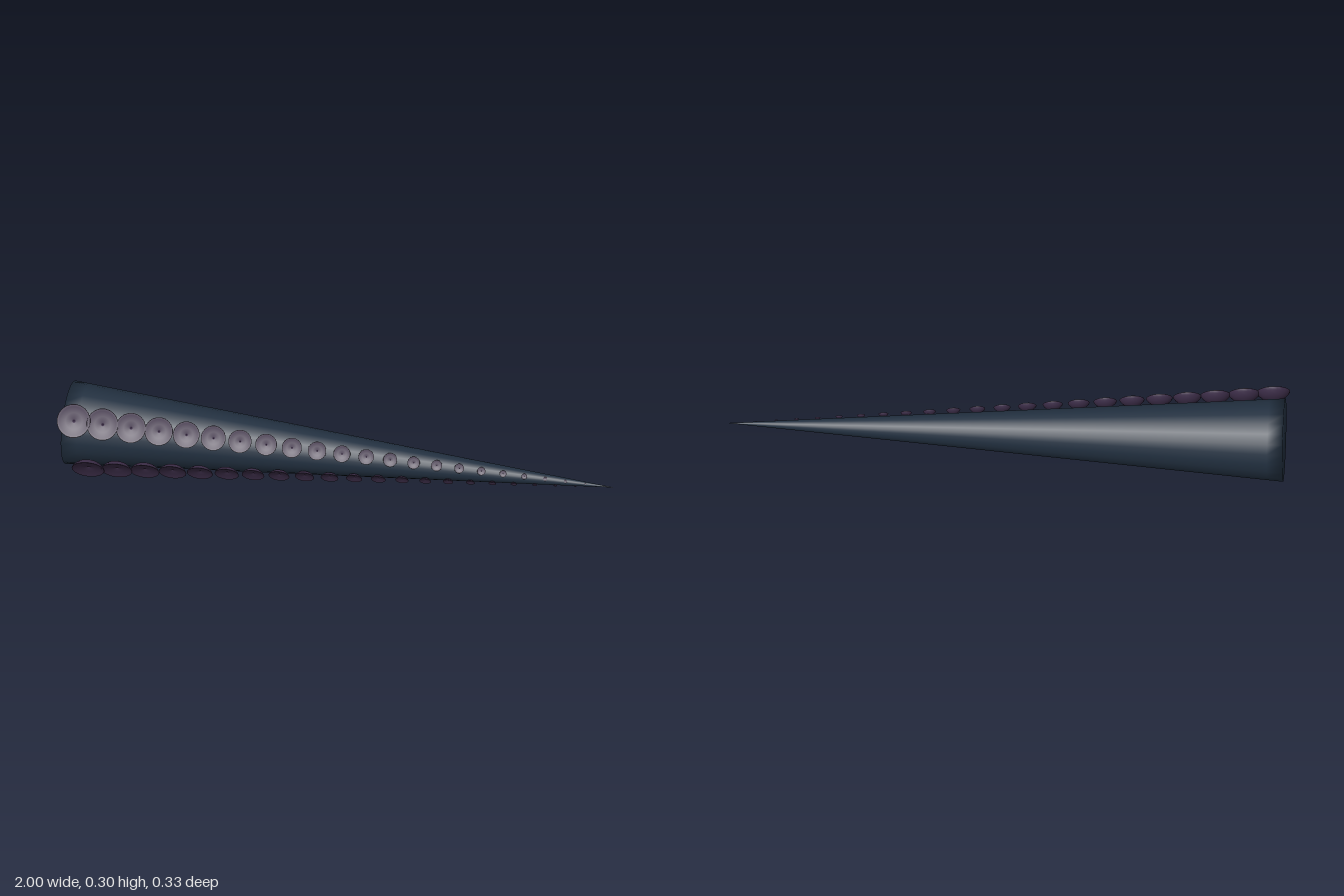
import * as THREE from 'three';

const BASE_X = -0.985, TIP_X = 1, BASE_R = 0.149;
const AXIS_Y = 0.15, AXIS_Z = -0.017;
const ROW_ANGLE = 0.59; // sucker rows sit this far above and below the front line

const radiusAt = (x) => BASE_R * (TIP_X - x) / (TIP_X - BASE_X);

export function createModel() {
  const skin = new THREE.MeshStandardMaterial({ color: 0x223040 });
  skin.name = 'dark blue skin';
  const cup = new THREE.MeshStandardMaterial({ color: 0x3c2d48 });
  cup.name = 'dusky purple sucker';

  const model = new THREE.Group();
  model.name = 'tentacle';

  // Tapering arm, with the end cap sharing smooth normals with the side
  const rings = 36, length = TIP_X - BASE_X;
  const profile = [new THREE.Vector2(0, 0)];
  for (let i = 0; i <= rings; i++) {
    const t = i / rings;
    profile.push(new THREE.Vector2(BASE_R * (1 - t), length * t));
  }
  const armGeo = new THREE.LatheGeometry(profile, 24);
  armGeo.rotateZ(-Math.PI / 2);
  const arm = new THREE.Mesh(armGeo, skin);
  arm.name = 'arm';
  arm.position.set(BASE_X, AXIS_Y, AXIS_Z);
  model.add(arm);

  // Unit sucker: shallow bowl underneath, thin rim, dished face with a small pit
  const cupGeo = new THREE.LatheGeometry([
    [0, -0.56], [0.4, -0.5], [0.7, -0.36], [0.9, -0.18], [1, -0.02],
    [0.98, 0], [0.85, -0.05], [0.5, -0.13], [0.12, -0.17], [0.07, -0.24], [0, -0.28],
  ].map(([r, y]) => new THREE.Vector2(r, y)), 20);

  // Two staggered rows of suckers shrinking toward the tip
  const up = new THREE.Vector3(0, 1, 0);
  for (const side of [1, -1]) {
    const row = new THREE.Group();
    row.name = side > 0 ? 'upperSuckers' : 'lowerSuckers';
    const c = Math.cos(ROW_ANGLE), s = side * Math.sin(ROW_ANGLE);
    for (let i = 0; i < 22; i++) {
      const k = i + (side > 0 ? 0 : 0.5);
      const x = -0.938 + 0.104 * k - 0.0008 * k * k;
      const r = radiusAt(x);
      const sucker = new THREE.Mesh(cupGeo, cup);
      sucker.name = 'sucker';
      sucker.position.set(x, AXIS_Y + 1.24 * r * s, AXIS_Z + 1.24 * r * c);
      sucker.scale.setScalar(0.415 * r);
      sucker.quaternion.setFromUnitVectors(up, new THREE.Vector3(0.075, s, c).normalize());
      row.add(sucker);
    }
    model.add(row);
  }
  return model;
}
